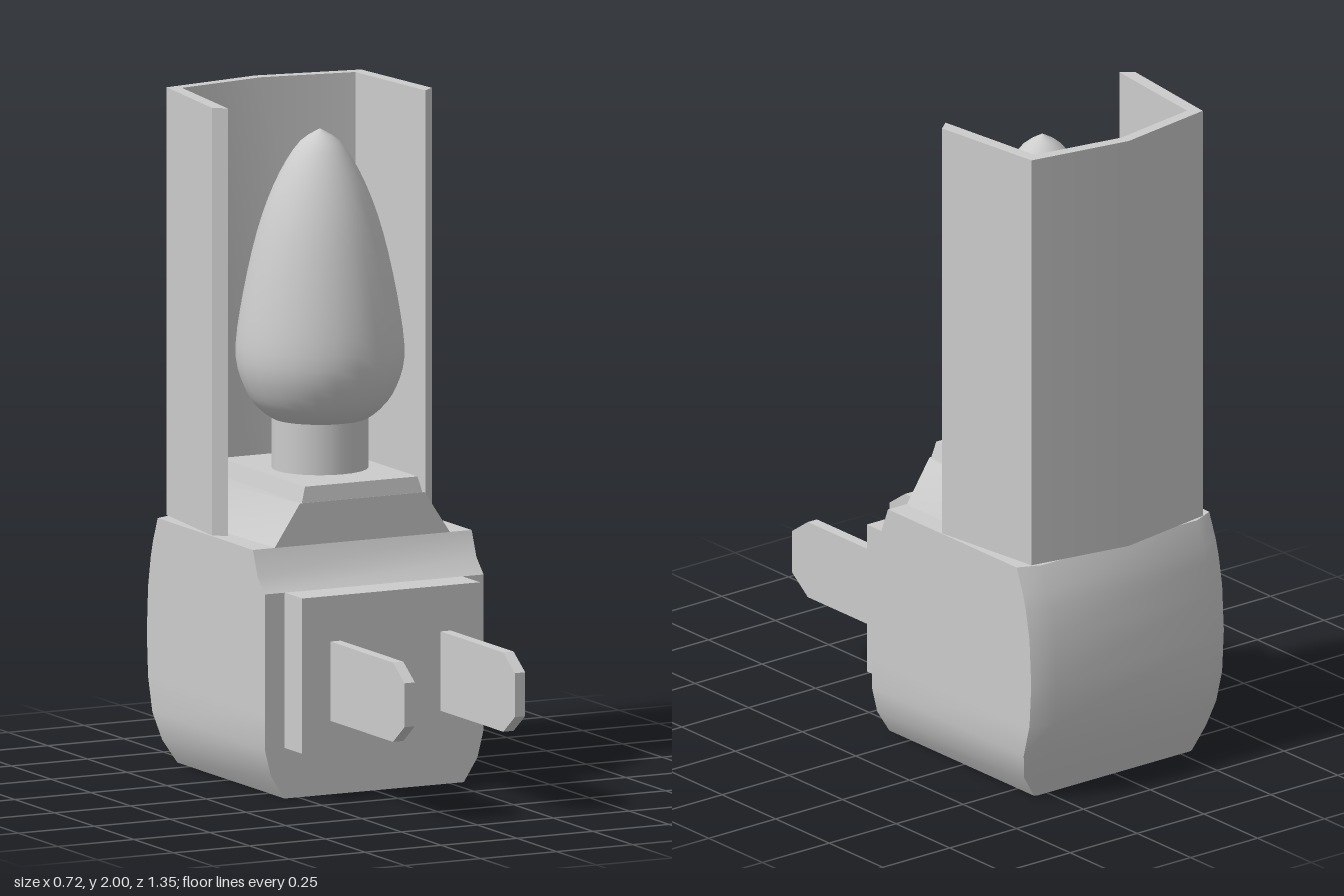
import * as THREE from 'three';
import { toCreasedNormals } from 'three/addons/utils/BufferGeometryUtils.js';

const material = new THREE.MeshStandardMaterial({ color: 0xcccccc });

// Closed solid through stacked convex rings, each counter-clockwise seen from above
function loft(rings, crease) {
  const n = rings[0].length;
  const index = [];
  for (let i = 0; i < rings.length - 1; i++) {
    for (let j = 0; j < n; j++) {
      const k = (j + 1) % n;
      const a = i * n + j, b = i * n + k, c = b + n, d = a + n;
      index.push(a, b, c, a, c, d);
    }
  }
  const top = (rings.length - 1) * n;
  for (let j = 1; j < n - 1; j++) {
    index.push(0, j + 1, j);
    index.push(top, top + j, top + j + 1);
  }
  const geometry = new THREE.BufferGeometry();
  geometry.setAttribute('position', new THREE.Float32BufferAttribute(rings.flat(2), 3));
  geometry.setIndex(index);
  return toCreasedNormals(geometry, crease);
}

// Mirror the right half of a ring (front to back) onto the left
function mirrored(half) {
  return [...half, ...half.slice().reverse().map(([x, y, z]) => [-x, y, z])];
}

function extrude(points, depth) {
  const shape = new THREE.Shape(points.map(([x, y]) => new THREE.Vector2(x, y)));
  return new THREE.ExtrudeGeometry(shape, { depth, bevelEnabled: false });
}

export function createModel() {
  const model = new THREE.Group();
  model.name = 'nightLight';
  const add = (name, geometry, x = 0, y = 0, z = 0) => {
    const mesh = new THREE.Mesh(geometry, material);
    mesh.name = name;
    mesh.position.set(x, y, z);
    model.add(mesh);
    return mesh;
  };

  // Housing: height, half width, front z, back z, back corner chamfer
  const levels = [
    [0, 0.295, 0.1, -0.58, 0.01],
    [0.07, 0.34, 0.1, -0.608, 0.05],
    [0.15, 0.36, 0.1, -0.64, 0.07],
    [0.25, 0.36, 0.1, -0.667, 0.07],
    [0.38, 0.36, 0.1, -0.675, 0.07],
    [0.52, 0.36, 0.1, -0.667, 0.07],
    [0.61, 0.36, 0.1, -0.65, 0.07],
    [0.655, 0.36, 0.055, -0.637, 0.07],
    [0.73, 0.36, 0.025, -0.607, 0.07],
  ];
  add('housing', loft(levels.map(([y, w, front, back, c]) => mirrored([
    [w, y, front], [w, y, back + c * 0.45], [w - c, y, back],
  ])), 0.6));

  // Raised plate behind the prongs
  add('plugPlate', new THREE.BoxGeometry(0.585, 0.46, 0.13), -0.002, 0.38, 0.145);

  // Flat prongs with clipped tips
  const prong = extrude([
    [0.19, 0.24], [0.605, 0.24], [0.678, 0.295], [0.678, 0.425], [0.605, 0.475], [0.19, 0.475],
  ], 0.034);
  prong.translate(0, 0, -0.017);
  prong.rotateY(-Math.PI / 2);
  for (const [name, x] of [['leftProng', 0.178], ['rightProng', -0.185]]) add(name, prong, x);

  // Flared saddle and the step above it
  add('saddle', loft([
    mirrored([[0.295, 0.72, 0.025], [0.31, 0.72, -0.56]]),
    mirrored([[0.205, 0.855, 0.025], [0.265, 0.855, -0.56]]),
  ], 0.3));
  add('saddleStep', loft([
    mirrored([[0.2, 0.85, 0.025], [0.2, 0.85, -0.53]]),
    mirrored([[0.185, 0.902, 0.018], [0.185, 0.902, -0.52]]),
  ], 0.3));

  // Lamp socket and candle bulb
  const lampX = 0.007, lampZ = -0.255;
  add('socket', new THREE.CylinderGeometry(0.142, 0.142, 0.17, 24), lampX, 0.975, lampZ);
  const bulbCurve = new THREE.SplineCurve([
    [0.001, 1.025], [0.1, 1.033], [0.175, 1.075], [0.222, 1.14], [0.247, 1.24],
    [0.228, 1.4], [0.184, 1.6], [0.13, 1.75], [0.065, 1.86], [0.001, 1.905],
  ].map(([r, y]) => new THREE.Vector2(r, y)));
  const profile = bulbCurve.getPoints(30);
  profile.forEach((p) => { p.x = Math.max(p.x, 0); });
  add('bulb', new THREE.LatheGeometry(profile, 24), lampX, 0, lampZ);

  // Folded shade: outer wall one way round, inner wall back
  const outer = [[0.362, 0.23], [0.32, 0.595], [0, 0.65], [-0.32, 0.595], [-0.362, 0.23]];
  const inner = [[-0.325, 0.2], [-0.285, 0.565], [0, 0.615], [0.285, 0.565], [0.325, 0.2]];
  const shade = extrude([...outer, ...inner], 1.267);
  shade.rotateX(-Math.PI / 2);
  add('shade', toCreasedNormals(shade, 0.5), 0, 0.733, 0);

  return model;
}
